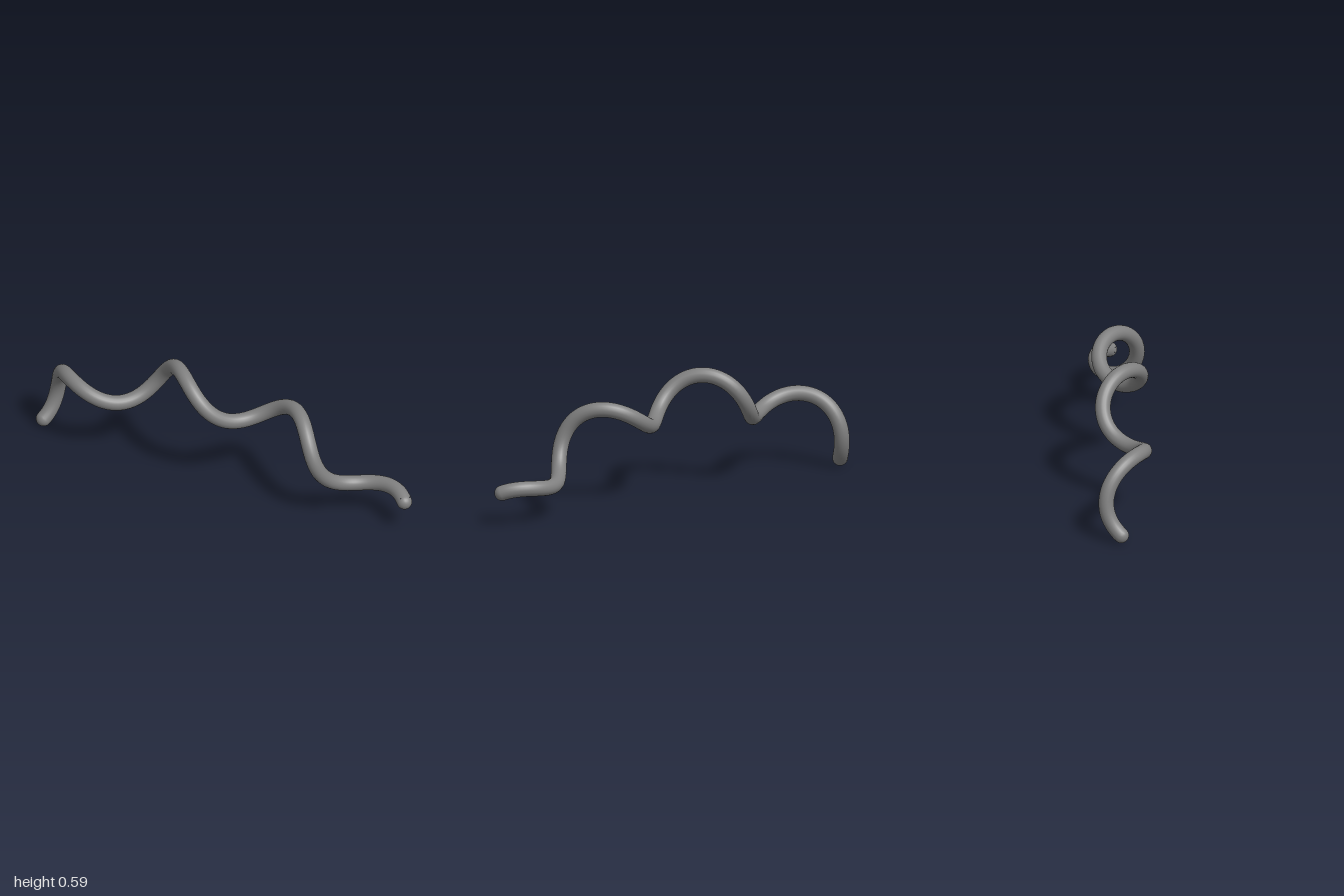
import * as THREE from 'three';

const TUBE_RADIUS = 0.037;
const COIL_RADIUS = 0.094;
const ARC = { x: -0.07, y: -0.988, radius: 1.45 }; // circle the coil follows
const HALF_TURN = 0.2125;                          // arc angle per half turn
const END_PHASE = 10.73;                           // coil phase at either end

// Helix wound around a circular arch
class ArchedCoil extends THREE.Curve {
  getPoint(t, target = new THREE.Vector3()) {
    const phase = (2 * t - 1) * END_PHASE;
    const angle = phase * HALF_TURN / Math.PI + 0.007;
    const r = ARC.radius - COIL_RADIUS * Math.sin(phase);
    return target.set(
      ARC.x + r * Math.sin(angle),
      ARC.y + r * Math.cos(angle),
      COIL_RADIUS * Math.cos(phase)
    );
  }
}

export function createModel() {
  const group = new THREE.Group();
  group.name = 'coiledStrand';
  const grey = new THREE.MeshStandardMaterial({ color: 0x808080 });
  grey.name = 'grey';

  // Winding strand
  const curve = new ArchedCoil();
  const strand = new THREE.Mesh(new THREE.TubeGeometry(curve, 160, TUBE_RADIUS, 20, false), grey);
  strand.name = 'strand';
  group.add(strand);

  // Rounded ends, facing outward along the strand
  const capGeometry = new THREE.SphereGeometry(TUBE_RADIUS, 20, 8, 0, Math.PI * 2, 0, Math.PI / 2);
  for (const [name, t, sign] of [['rightEnd', 0, -1], ['leftEnd', 1, 1]]) {
    const cap = new THREE.Mesh(capGeometry, grey);
    cap.name = name;
    cap.position.copy(curve.getPoint(t));
    cap.quaternion.setFromUnitVectors(
      new THREE.Vector3(0, 1, 0),
      curve.getTangent(t).multiplyScalar(sign)
    );
    group.add(cap);
  }
  return group;
}
